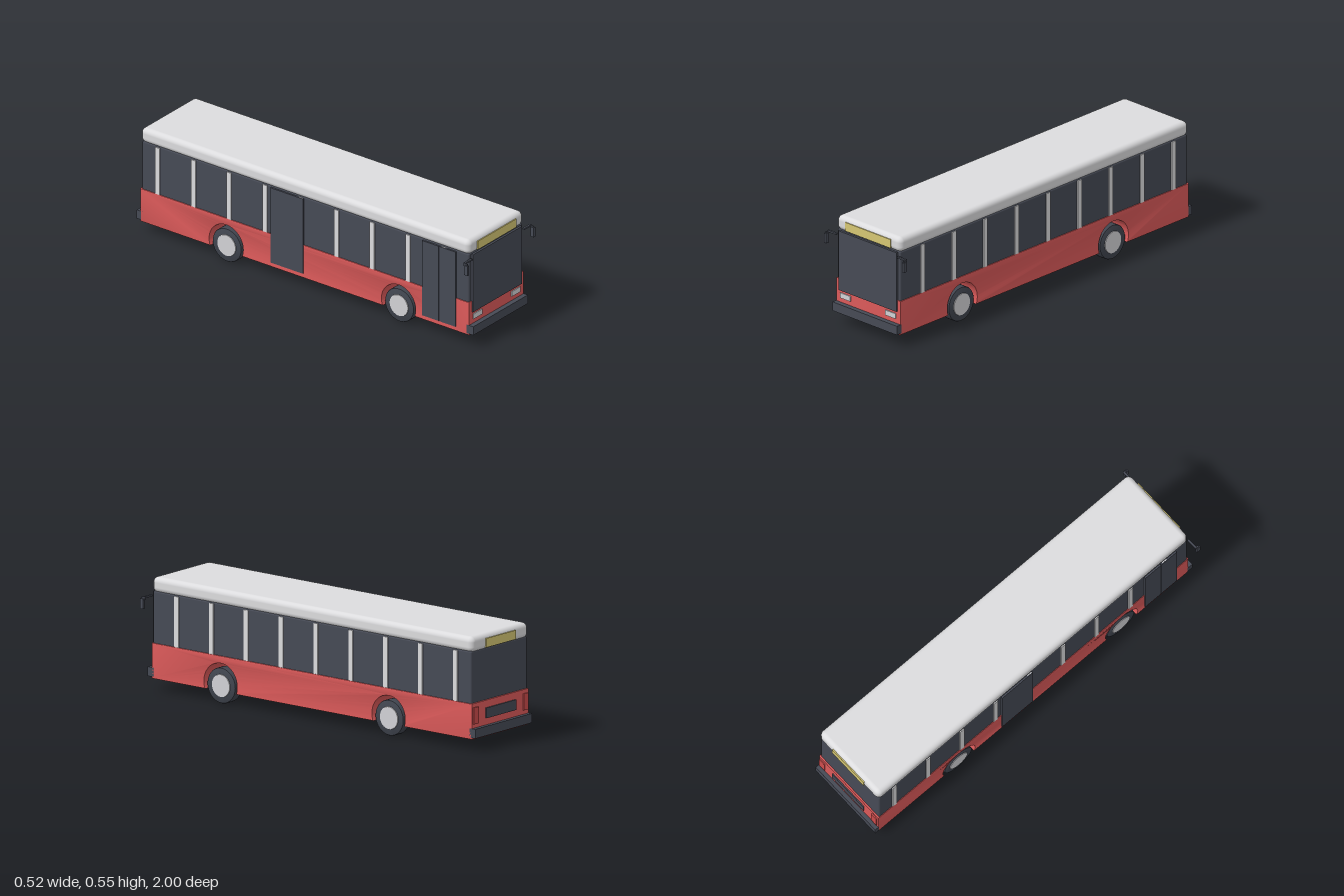
import * as THREE from 'three';
import { toCreasedNormals } from 'three/addons/utils/BufferGeometryUtils.js';
import { RoundedBoxGeometry } from 'three/addons/geometries/RoundedBoxGeometry.js';

const paint = (name, color) => {
  const m = new THREE.MeshStandardMaterial({ color });
  m.name = name;
  return m;
};

export function createModel() {
  const bus = new THREE.Group();
  bus.name = 'cityBus';
  const red = paint('bodyRed', 0xdc5a5a);
  const tailRed = paint('tailLightRed', 0xce4c4c);
  const white = paint('roofWhite', 0xdcdcde);
  const silver = paint('lightSilver', 0xd2d2d6);
  const dark = paint('darkGlass', 0x464a55);
  const tyreDark = paint('tyreDark', 0x40454f);
  const yellow = paint('signYellow', 0xd6c773);

  const add = (name, geo, mat, parent = bus) => {
    const mesh = new THREE.Mesh(geo, mat);
    mesh.name = name;
    parent.add(mesh);
    return mesh;
  };
  // Box given by its low and high limits on each axis; r rounds the edges
  const box = (name, mat, [x0, x1], [y0, y1], [z0, z1], r = 0) => {
    const s = [x1 - x0, y1 - y0, z1 - z0];
    const geo = r ? new RoundedBoxGeometry(...s, 4, r) : new THREE.BoxGeometry(...s);
    const mesh = add(name, geo, mat);
    mesh.position.set((x0 + x1) / 2, (y0 + y1) / 2, (z0 + z1) / 2);
    return mesh;
  };

  const axles = [-0.471, 0.551];
  const bottom = 0.058, archY = 0.094, archR = 0.1;

  // Lower body: side outline with wheel arches, extruded across the width
  const outline = new THREE.Shape();
  outline.moveTo(-0.98, bottom);
  const dip = Math.asin((archY - bottom) / archR);
  for (const z of axles) {
    outline.lineTo(z - archR * Math.cos(dip), bottom);
    outline.absarc(z, archY, archR, Math.PI + dip, -dip, true);
  }
  outline.lineTo(0.97, bottom);
  outline.lineTo(0.97, 0.231);
  outline.lineTo(-0.98, 0.231);
  outline.closePath();
  const bevel = 0.005;
  const lower = new THREE.ExtrudeGeometry(outline, {
    depth: 0.42 - 2 * bevel, curveSegments: 28,
    bevelSize: bevel, bevelThickness: bevel, bevelOffset: -bevel, bevelSegments: 2,
  });
  lower.translate(0, 0, -(0.42 - 2 * bevel) / 2);
  lower.rotateY(-Math.PI / 2);
  add('lowerBody', toCreasedNormals(lower, 0.5), red);

  // Glazed band and roof
  box('windowBand', dark, [-0.206, 0.206], [0.222, 0.482], [-0.972, 0.966], 0.008);
  box('roof', white, [-0.21, 0.21], [0.475, 0.55], [-0.98, 0.97], 0.026);

  // Window pillars on both sides
  for (let i = 0; i < 9; i++) {
    const z = -0.877 + i * 0.212;
    for (const s of [-1, 1]) {
      const pillar = box('windowPillar', white, [-0.005, 0.005], [0.231, 0.476], [z - 0.013, z + 0.013]);
      pillar.position.x = s * 0.206;
    }
  }

  // Doors on the right-hand side of the bus
  for (const [z0, z1] of [[-0.205, -0.012], [0.695, 0.793], [0.796, 0.893]]) {
    box('doorLeaf', dark, [-0.2145, -0.2], [0.082, 0.475], [z0, z1]);
  }

  // Front face
  box('windscreen', dark, [-0.189, 0.189], [0.174, 0.476], [0.955, 0.977]);
  box('frontSign', yellow, [-0.148, 0.148], [0.486, 0.53], [0.965, 0.974]);
  box('frontBumper', dark, [-0.21, 0.21], [0.067, 0.112], [0.955, 0.995]);

  // Rear face
  box('rearSign', yellow, [-0.11, 0.11], [0.486, 0.53], [-0.985, -0.976]);
  box('rearBumper', dark, [-0.21, 0.21], [0.067, 0.112], [-1, -0.965]);
  box('rearPlate', dark, [-0.11, 0.11], [0.145, 0.195], [-0.986, -0.978]);

  for (const s of [-1, 1]) {
    const headlight = box('headlight', silver, [-0.0335, 0.0335], [0.135, 0.161], [0.966, 0.975]);
    headlight.position.x = s * 0.147;
    const tail = box('tailLight', tailRed, [-0.018, 0.018], [0.132, 0.212], [-0.986, -0.978]);
    tail.position.x = s * 0.183;
    // Mirrors: arm reaching outwards, head hanging from its tip
    const arm = box('mirrorArm', dark, [-0.028, 0.028], [0.453, 0.461], [0.972, 0.982]);
    arm.position.x = s * 0.227;
    const drop = box('mirrorBracket', dark, [-0.003, 0.003], [0.445, 0.458], [0.974, 0.994]);
    drop.position.x = s * 0.253;
    const head = box('mirrorHead', dark, [-0.006, 0.006], [0.4, 0.45], [0.98, 1]);
    head.position.x = s * 0.254;
  }

  // Wheels: lathed tyre with a flat hub disc on the outer face
  const R = 0.086, half = 0.026, c = 0.006;
  const profile = [
    [0, -half], [R - c, -half], [R - 0.002, -half + 0.002], [R, -half + c],
    [R, half - c], [R - 0.002, half - 0.002], [R - c, half], [0, half],
  ].map(([r, y]) => new THREE.Vector2(r, y));
  const tyreGeo = toCreasedNormals(new THREE.LatheGeometry(profile, 40), 0.6);
  const hubGeo = new THREE.CylinderGeometry(0.054, 0.056, 0.006, 32);
  for (const z of axles) {
    for (const s of [-1, 1]) {
      const wheel = new THREE.Group();
      wheel.name = 'wheel';
      add('tyre', tyreGeo, tyreDark, wheel);
      add('hub', hubGeo, silver, wheel).position.y = half;
      wheel.rotation.z = -s * Math.PI / 2;
      wheel.position.set(s * 0.178, R, z);
      bus.add(wheel);
    }
  }
  return bus;
}
